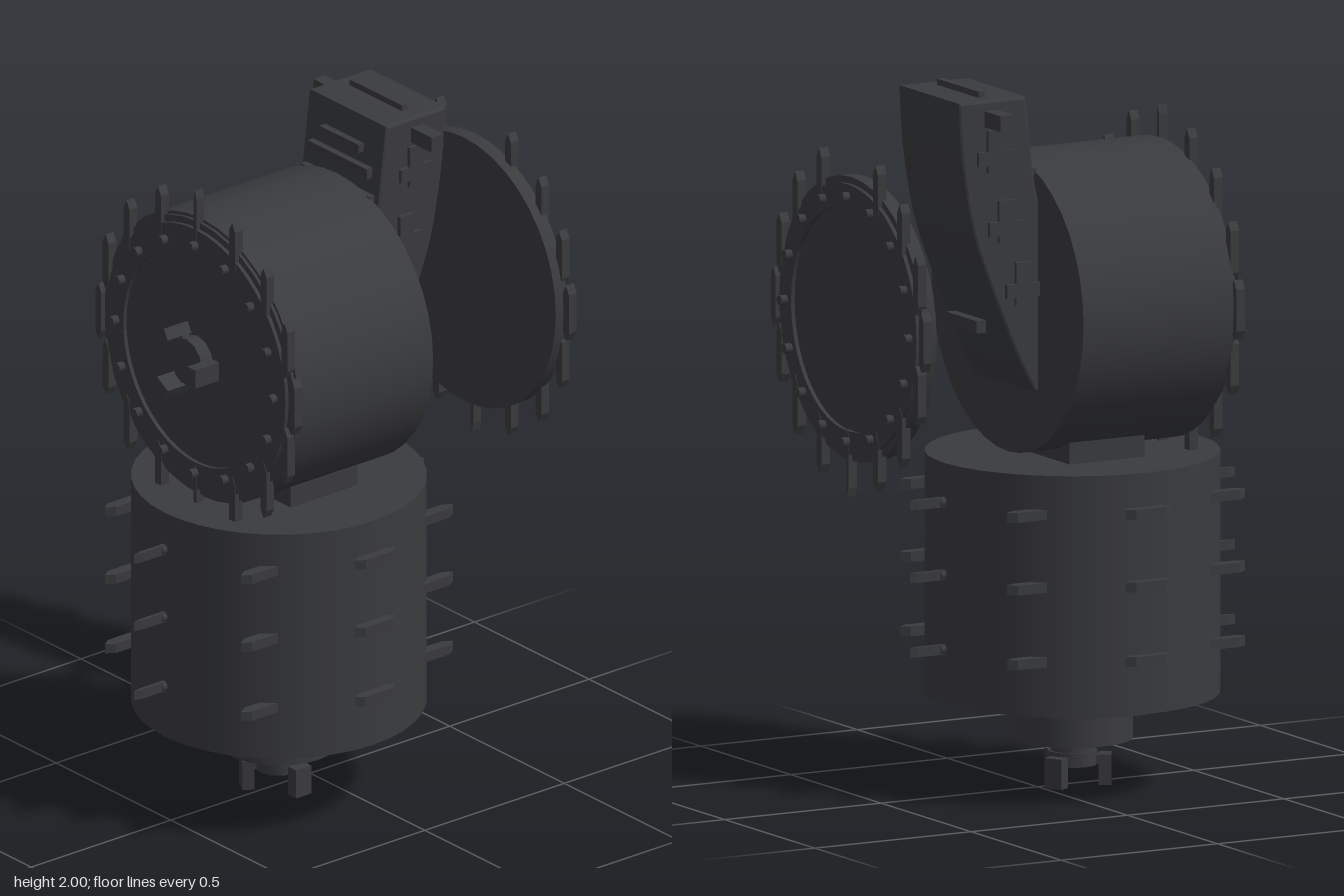
import * as THREE from 'three';

const mat = new THREE.MeshStandardMaterial({ color: 0x3a3b3e });

function add(parent, name, geo, x = 0, y = 0, z = 0) {
  const m = new THREE.Mesh(geo, mat);
  m.name = name;
  m.position.set(x, y, z);
  parent.add(m);
  return m;
}
const box = (p, name, w, h, d, x, y, z) => add(p, name, new THREE.BoxGeometry(w, h, d), x, y, z);
const disc = (r, h, n = 40) => new THREE.CylinderGeometry(r, r, h, n);

// Slim bar along y with chamfered ends
function finGeometry(width, length, depth) {
  const w = width / 2, l = length / 2, c = Math.min(0.025, length / 5);
  const s = new THREE.Shape([[-w, -l + c], [0, -l], [w, -l + c], [w, l - c], [0, l], [-w, l - c]]
    .map(([x, y]) => new THREE.Vector2(x, y)));
  return new THREE.ExtrudeGeometry(s, { depth, bevelEnabled: false }).translate(0, 0, -depth / 2);
}

// Round connector with three prongs, pointing along +y
function makeConnector(name) {
  const g = new THREE.Group();
  g.name = name;
  add(g, 'connectorNeck', disc(0.062, 0.06, 16), 0, 0.01, 0);
  add(g, 'connectorHub', disc(0.07, 0.04, 12), 0, 0.055, 0);
  for (let i = 0; i < 3; i++) {
    const arm = new THREE.Group();
    arm.rotation.y = i * Math.PI * 2 / 3;
    box(arm, 'prong', 0.035, 0.085, 0.055, 0.09, 0.0875, 0);
    box(arm, 'prongArm', 0.05, 0.025, 0.035, 0.065, 0.06, 0);
    g.add(arm);
  }
  return g;
}

// Flange facing +z: plate, bolt ring and upright fins on its rim
function makeFlange(name, radius, skipTop) {
  const g = new THREE.Group();
  g.name = name;
  add(g, 'flangePlate', disc(radius, 0.025).rotateX(Math.PI / 2), 0, 0, 0);
  const ring = new THREE.Shape().absarc(0, 0, radius - 0.02, 0, Math.PI * 2);
  ring.holes.push(new THREE.Path().absarc(0, 0, 0.315, 0, Math.PI * 2));
  add(g, 'boltRing', new THREE.ExtrudeGeometry(ring, { depth: 0.012, bevelEnabled: false, curveSegments: 40 }), 0, 0, 0.012);
  for (let i = 0; i < 16; i++) {
    const a = i * Math.PI / 8, c = Math.cos(a), s = Math.sin(a);
    add(g, 'flangeBolt', disc(0.014, 0.03, 10).rotateX(Math.PI / 2), 0.345 * c, 0.345 * s, 0.03);
    if (skipTop && i === 4) continue;
    const thin = i % 8 === 4;
    add(g, 'flangeFin', finGeometry(thin ? 0.012 : 0.026, thin ? 0.19 : 0.168, 0.028),
      (radius + 0.01) * c, (radius + 0.005) * s, 0.012);
  }
  return g;
}

export function createModel() {
  const model = new THREE.Group();
  model.name = 'machine';
  const cz = 0.112;

  // Lower upright drum and stepped base
  add(model, 'lowerDrum', disc(0.41, 0.68), 0, 0.6, cz);
  add(model, 'baseDisc', disc(0.295, 0.03), 0, 0.248, 0.125);
  add(model, 'baseNeck', disc(0.168, 0.11, 32), 0, 0.185, cz);
  const foot = makeConnector('footConnector');
  foot.rotation.x = Math.PI;
  foot.position.set(0, 0.13, cz);
  model.add(foot);

  // Three rows of eight fins, all lying front to back
  for (const y of [0.415, 0.625, 0.83]) {
    for (let i = 0; i < 8; i++) {
      const a = i * Math.PI / 4, c = Math.cos(a), s = Math.sin(a);
      const thin = i % 4 === 2;
      const len = thin ? 0.22 : i % 4 === 0 ? 0.145 : 0.18;
      add(model, 'drumFin', finGeometry(thin ? 0.012 : 0.034, len, 0.028).rotateX(Math.PI / 2),
        0.42 * c, y, cz + 0.41 * s);
    }
    for (const s of [-1, 1])
      add(model, 'drumBolt', disc(0.013, 0.03, 10).rotateX(Math.PI / 2), 0, y, cz + s * 0.41);
  }

  // Saddle joining the two drums
  box(model, 'saddle', 0.39, 0.08, 0.24, 0, 0.96, 0.11);

  // Upper horizontal drum with its front flange
  add(model, 'upperDrum', disc(0.421, 0.485).rotateX(Math.PI / 2), 0, 1.375, 0.1475);
  const front = makeFlange('frontFlange', 0.412, false);
  front.position.set(0, 1.375, 0.387);
  model.add(front);
  const plug = makeConnector('frontConnector');
  plug.rotation.set(Math.PI / 2, 0, 0);
  plug.position.set(0, 1.375, 0.37);
  model.add(plug);

  // Detached rear flange
  const rear = makeFlange('rearFlange', 0.4, true);
  rear.rotation.y = Math.PI;
  rear.position.set(0, 1.373, -0.582);
  model.add(rear);
  add(model, 'rearFlangeDisc', disc(0.4, 0.03).rotateX(Math.PI / 2), 0, 1.373, -0.567);

  // Curved duct: side profile (u = -z) extruded across the width
  const p = new THREE.Shape();
  p.moveTo(0.07, 1.15);
  p.lineTo(0.1, 1.155);
  p.splineThru([[0.155, 1.26], [0.235, 1.45], [0.295, 1.62], [0.33, 1.82], [0.34, 1.975]]
    .map(([u, y]) => new THREE.Vector2(u, y)));
  p.lineTo(0.14, 1.975);
  p.lineTo(0.112, 1.74);
  p.lineTo(0.07, 1.55);
  const duct = new THREE.ExtrudeGeometry(p, {
    depth: 0.316, curveSegments: 16, bevelThickness: 0.01, bevelSize: 0.008, bevelSegments: 2,
  });
  duct.translate(0, 0, -0.158).rotateY(Math.PI / 2);
  add(model, 'duct', duct);

  // Duct slots, top handle and side lugs
  box(model, 'topPlate', 0.23, 0.025, 0.02, 0, 1.9875, -0.245);
  box(model, 'frontSlotUpper', 0.17, 0.025, 0.03, 0, 1.895, -0.118);
  box(model, 'frontSlotLower', 0.26, 0.03, 0.03, 0, 1.835, -0.112);
  box(model, 'frontSlotBase', 0.3, 0.02, 0.03, 0, 1.765, -0.105);
  box(model, 'rearPin', 0.17, 0.035, 0.03, 0, 1.33, -0.228);
  for (const s of [-1, 1]) {
    box(model, 'sideLug', 0.1, 0.045, 0.042, s * 0.207, 1.932, -0.245);
    for (const [y, z] of [[1.84, -0.235], [1.64, -0.2], [1.46, -0.145]]) {
      box(model, 'sideRib', 0.02, 0.12, 0.05, s * 0.17, y, z);
      box(model, 'sideCrossRib', 0.02, 0.04, 0.11, s * 0.17, y - 0.02, z);
    }
  }
  return model;
}
